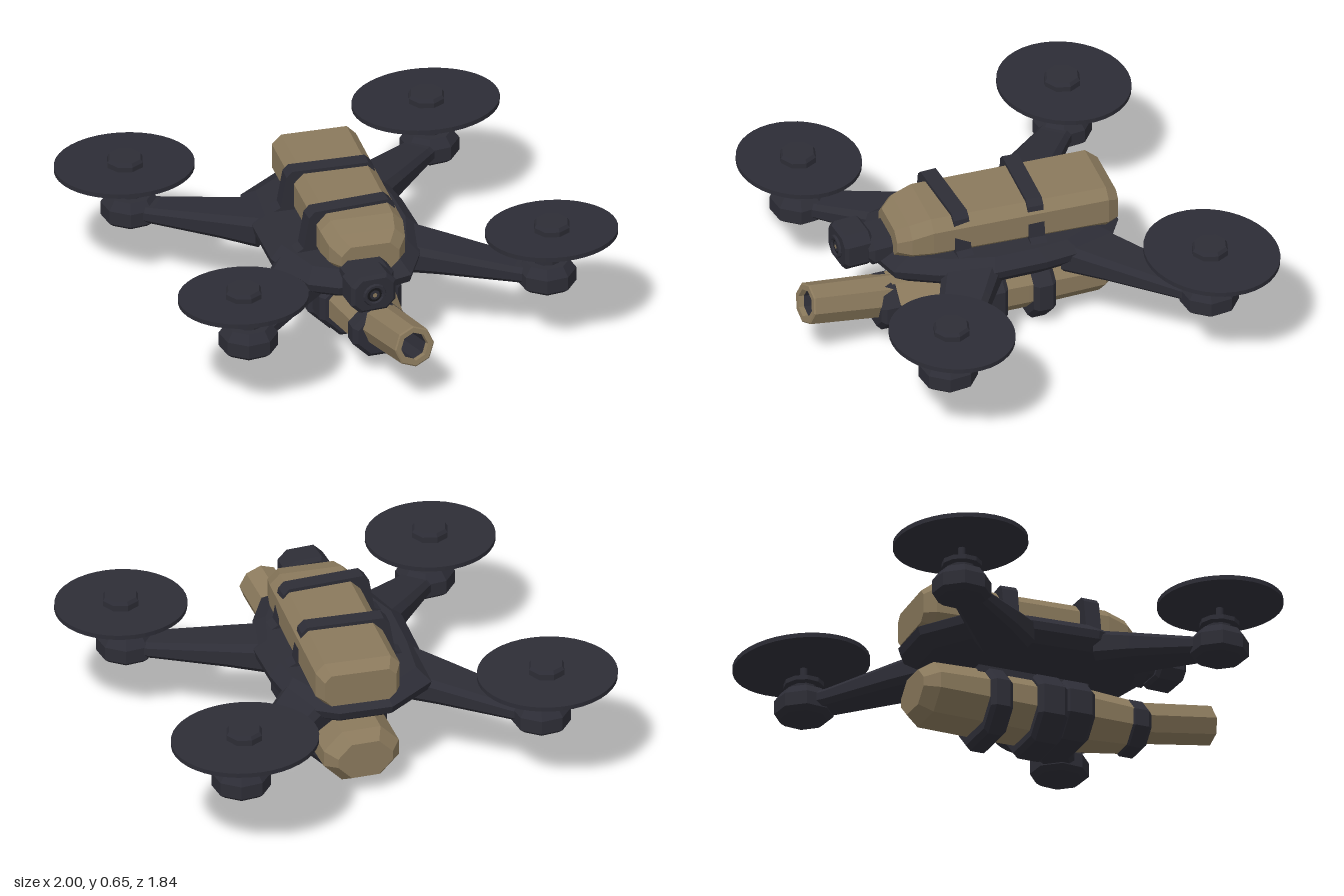
import * as THREE from 'three';

const mat = (name, color) => {
  const m = new THREE.MeshStandardMaterial({ color });
  m.name = name;
  return m;
};

// Faceted normals for the low-poly look
const flat = (g) => {
  const f = g.index ? g.toNonIndexed() : g;
  f.computeVertexNormals();
  return f;
};

// Skin closed rings (counter-clockwise, seen from +z), ordered from low z to high z
function loft(rings) {
  const n = rings[0].length, pos = [], idx = [];
  rings.forEach((r) => r.forEach((p) => pos.push(...p)));
  for (let i = 0; i < rings.length - 1; i++) {
    for (let j = 0; j < n; j++) {
      const a = i * n + j, b = i * n + (j + 1) % n;
      idx.push(a, b, b + n, a, b + n, a + n);
    }
  }
  const last = (rings.length - 1) * n;
  for (let j = 1; j < n - 1; j++) idx.push(0, j + 1, j, last, last + j, last + j + 1);
  const g = new THREE.BufferGeometry();
  g.setAttribute('position', new THREE.Float32BufferAttribute(pos, 3));
  g.setIndex(idx);
  return flat(g);
}

// Rectangle with cut corners: z, width, bottom, top, corner cut
function section(z, w, y0, y1, c) {
  const h = w / 2;
  return [[h, y0 + c], [h, y1 - c], [h - c, y1], [c - h, y1], [-h, y1 - c], [-h, y0 + c], [c - h, y0], [h - c, y0]]
    .map(([x, y]) => [x, y, z]);
}

// Block along z with bevelled ends
function band(z0, z1, w, y0, y1, c, b = 0.02) {
  const small = (z) => section(z, w - 2 * b, y0 + b, y1 - b, c * 0.8);
  return loft([small(z0), section(z0 + b, w, y0, y1, c), section(z1 - b, w, y0, y1, c), small(z1)]);
}

const lathe = (pts, sides) => flat(new THREE.LatheGeometry(pts.map(([r, y]) => new THREE.Vector2(r, y)), sides));

export function createModel() {
  const model = new THREE.Group();
  model.name = 'quadcopter';
  const tan = mat('tan shell', 0x8a795c);
  const dark = mat('dark frame', 0x2d2d36);
  const black = mat('black glass', 0x17171b);

  const add = (parent, name, geo, material, x = 0, y = 0, z = 0) => {
    const m = new THREE.Mesh(geo, material);
    m.name = name;
    m.position.set(x, y, z);
    parent.add(m);
    return m;
  };
  const group = (name, x, y, z, yaw) => {
    const g = new THREE.Group();
    g.name = name;
    g.position.set(x, y, z);
    g.rotation.y = yaw;
    model.add(g);
    return g;
  };

  // Central frame: plan outline [x, z] stacked in scaled layers
  const plan = [[-0.06, -0.487], [0.17, -0.455], [0.25, -0.39], [0.315, -0.21], [0.315, -0.05], [0.29, 0.18], [0.2, 0.4],
    [0.09, 0.56], [-0.1, 0.585], [-0.235, 0.545], [-0.34, 0.465], [-0.395, 0.2], [-0.35, -0.1], [-0.29, -0.36]].reverse();
  const layers = [[0.31, 0.6], [0.35, 0.85], [0.395, 0.98], [0.43, 1], [0.475, 0.84]];
  const frame = loft(layers.map(([y, s]) => plan.map(([x, z]) => [-0.03 + (x + 0.03) * s, -0.05 - (z - 0.05) * s, y])));
  frame.rotateX(-Math.PI / 2);
  add(model, 'frame', frame, dark);

  // Arms, motors and rotors: pod x z, arm root x z, rotor x z, rotor radii
  const corners = [
    [-0.68, 0.615, -0.28, 0.28, -0.70, 0.607, 0.277, 0.262],
    [0.69, 0.605, 0.17, 0.23, 0.715, 0.60, 0.283, 0.262],
    [-0.68, -0.62, -0.25, -0.17, -0.70, -0.637, 0.299, 0.28],
    [0.69, -0.62, 0.2, -0.23, 0.68, -0.637, 0.317, 0.28],
  ];
  const podGeo = lathe([[0, 0.275], [0.1, 0.275], [0.125, 0.295], [0.125, 0.355], [0.095, 0.395], [0, 0.395]], 8);
  const motorGeo = lathe([[0, 0.39], [0.06, 0.39], [0.06, 0.42], [0.085, 0.425], [0.085, 0.445], [0.016, 0.446], [0.016, 0.51], [0, 0.51]], 10);
  const discGeo = flat(new THREE.CylinderGeometry(1, 1, 0.02, 40));
  const hubGeo = lathe([[0, 0], [0.08, 0], [0.08, 0.03], [0.07, 0.045], [0, 0.045]], 8);
  for (const [px, pz, ax, az, rx, rz, r1, r2] of corners) {
    const len = Math.hypot(px - ax, pz - az);
    const arm = add(model, 'arm', loft([
      section(0, 0.25, 0.315, 0.455, 0.03),
      section(len * 0.3, 0.215, 0.315, 0.425, 0.025),
      section(len * 0.8, 0.15, 0.3, 0.375, 0.02),
      section(len, 0.14, 0.295, 0.365, 0.02),
    ]), dark, ax, 0, az);
    arm.rotation.y = Math.atan2(px - ax, pz - az);
    add(model, 'motorPod', podGeo, dark, px, 0, pz).rotation.y = Math.PI / 8;
    add(model, 'motor', motorGeo, dark, px, 0, pz);
    const disc = add(model, 'rotorDisc', discGeo, dark, rx, 0.521, rz);
    disc.scale.set(r1, 1, r2);
    disc.rotation.x = -0.03;
    add(model, 'rotorHub', hubGeo, dark, rx, 0.525, (rz + pz) / 2);
  }

  // Upper pack, slightly turned on the frame
  const pack = group('upperPack', 0, 0, 0.025, -0.15);
  add(pack, 'upperShell', loft([
    section(-0.48, 0.31, 0.46, 0.605, 0.03),
    section(-0.43, 0.365, 0.45, 0.64, 0.04),
    section(0.34, 0.36, 0.45, 0.64, 0.045),
    section(0.43, 0.33, 0.45, 0.615, 0.045),
    section(0.485, 0.25, 0.455, 0.58, 0.04),
  ]), tan);

  // Upper straps with flared feet
  const half = [[0.245, 0.43], [0.245, 0.475], [0.215, 0.49], [0.19, 0.63], [0.165, 0.655]];
  const outline = [...half, ...half.map(([x, y]) => [-x, y]).reverse()];
  const strapShape = new THREE.Shape(outline.map(([x, y]) => new THREE.Vector2(x, y)));
  const strapGeo = flat(new THREE.ExtrudeGeometry(strapShape, { depth: 0.07, bevelEnabled: false }));
  strapGeo.translate(0, 0, -0.035);
  add(model, 'upperStrap', strapGeo, dark, -0.06, 0, 0.25).rotation.y = -0.06;
  add(model, 'upperStrap', strapGeo, dark, -0.005, 0, -0.09).rotation.y = -0.16;

  // Nose camera
  const cam = group('camera', -0.108, 0, 0, -0.05);
  add(cam, 'cameraNeck', band(0.46, 0.61, 0.2, 0.4, 0.52, 0.03), dark, 0.03);
  add(cam, 'cameraBody', band(0.58, 0.71, 0.2, 0.38, 0.55, 0.04, 0.015), dark);
  const ring = new THREE.TorusGeometry(0.042, 0.01, 6, 16);
  add(cam, 'lensRing', flat(ring), dark, 0, 0.463, 0.712);
  const lens = (name, r, m, z) => add(cam, name, new THREE.CircleGeometry(r, 16), m, 0, 0.463, z);
  lens('lens', 0.042, black, 0.712);
  lens('lensIris', 0.022, dark, 0.714);
  lens('lensCentre', 0.01, tan, 0.716);

  // Lower pack and its straps
  const low = group('lowerPack', 0.005, 0, 0, -0.1);
  add(low, 'lowerShell', loft([
    section(-0.455, 0.24, 0.1, 0.26, 0.06),
    section(-0.395, 0.33, 0.065, 0.295, 0.08),
    section(-0.05, 0.33, 0.06, 0.305, 0.08),
    section(0.2, 0.32, 0.06, 0.31, 0.08),
    section(0.52, 0.23, 0.095, 0.3, 0.065),
  ]), tan);
  [
    [-0.17, -0.07, 0.38, 0.005, 0.315, 0.095],
    [0.045, 0.18, 0.38, 0.01, 0.33, 0.095],
    [0.17, 0.31, 0.36, 0.045, 0.33, 0.09],
    [0.49, 0.59, 0.25, 0.085, 0.3, 0.07],
  ].forEach((b) => add(low, 'lowerStrap', band(...b), dark));
  add(low, 'lowerMount', flat(new THREE.BoxGeometry(0.22, 0.08, 0.5)), dark, 0, 0.32, 0.05);

  // Barrel with a hollow muzzle, tilted upward
  const barrel = group('barrel', -0.046, 0.205, 0.45, 0);
  barrel.rotation.x = Math.PI / 2 - 0.19;
  add(barrel, 'barrelTube', lathe([[0, 0], [0.095, 0], [0.09, 0.46], [0.084, 0.465], [0.062, 0.465], [0.06, 0.44]], 8), tan);
  add(barrel, 'barrelBore', lathe([[0.06, 0.44], [0.058, 0.2], [0, 0.2]], 8), dark);

  return model;
}
